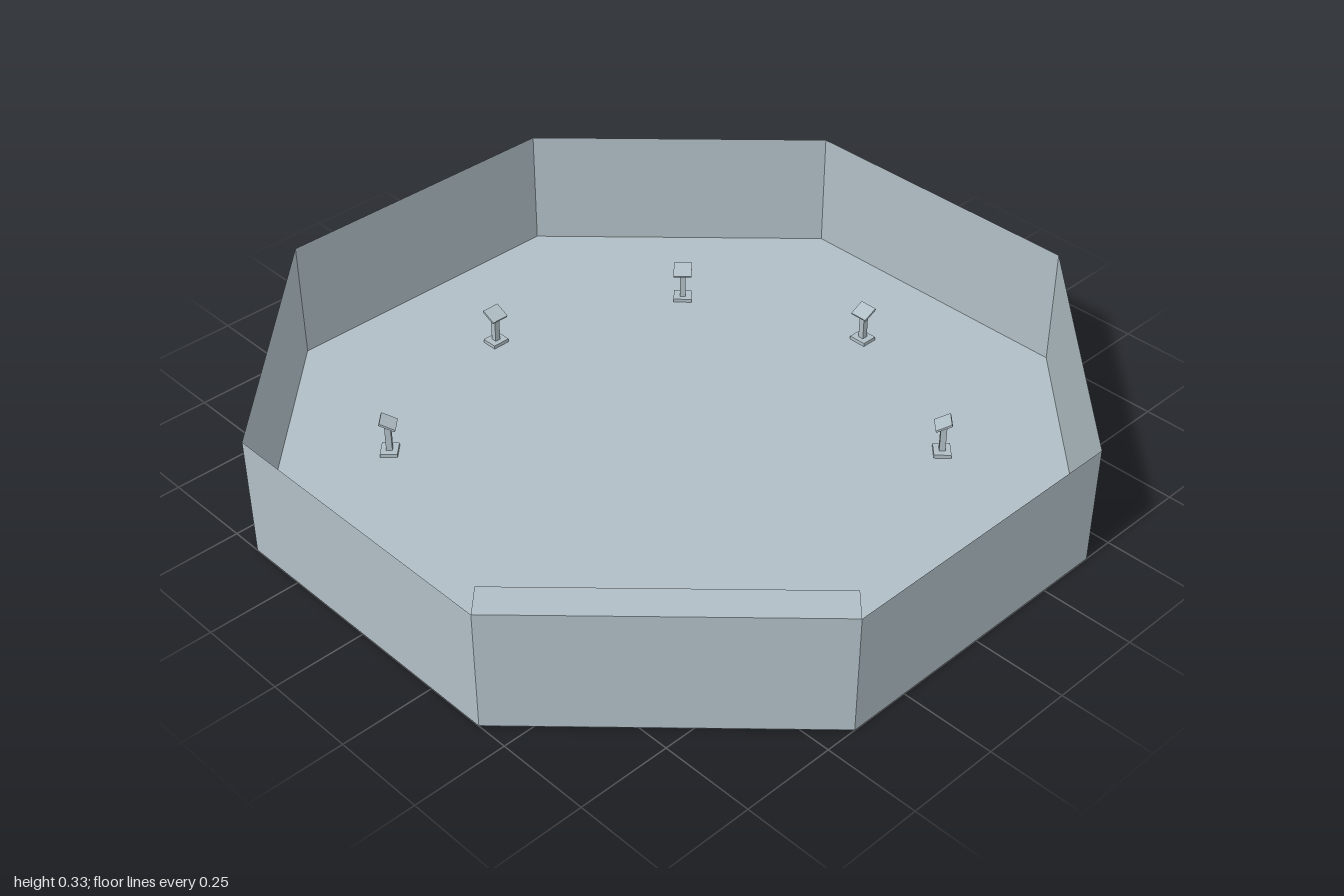
import * as THREE from 'three';

export function createModel() {
  const model = new THREE.Group();
  const blueGrey = new THREE.MeshStandardMaterial({ color: 0xb0bec5, flatShading: true, side: THREE.DoubleSide });
  blueGrey.name = 'blue grey';

  const add = (parent, name, geometry, x = 0, y = 0, z = 0) => {
    const mesh = new THREE.Mesh(geometry, blueGrey);
    mesh.name = name;
    mesh.position.set(x, y, z);
    parent.add(mesh);
    return mesh;
  };

  const height = 0.33;
  const step = Math.PI / 4;
  const radius = 1 / Math.cos(step / 2);
  const side = 2 * Math.tan(step / 2);

  // Octagonal floor sheet
  add(model, 'floor', new THREE.CircleGeometry(radius, 8, step / 2).rotateX(-Math.PI / 2));

  // Seven thin walls; the eighth side is the thick wall
  add(model, 'thinWalls',
    new THREE.CylinderGeometry(radius, radius, height, 7, 1, true, step * 1.5, step * 7), 0, height / 2, 0);

  // Thick wall on the front left diagonal
  const depth = 0.09;
  const thick = new THREE.Group();
  thick.name = 'thickWall';
  thick.rotation.y = step;
  add(thick, 'thickWallBlock', new THREE.BoxGeometry(side, height - 0.001, depth),
    0, height / 2 + 0.0005, 1 - depth / 2);
  model.add(thick);

  // Small stands whose tilted plates face the centre
  const stands = [[-0.495, 0.53, 3], [-0.675, 0.02, 2], [-0.475, -0.495, 1], [0.012, -0.706, 0], [0.488, -0.48, -1]];
  for (const [x, z, turn] of stands) {
    const stand = new THREE.Group();
    stand.name = 'stand';
    stand.position.set(x, 0, z);
    stand.rotation.y = turn * step;
    add(stand, 'standBase', new THREE.BoxGeometry(0.05, 0.01, 0.045), 0, 0.006, 0);
    add(stand, 'standPost', new THREE.BoxGeometry(0.016, 0.08, 0.016), 0, 0.05, 0);
    add(stand, 'standPlate', new THREE.BoxGeometry(0.05, 0.006, 0.045), 0, 0.095, 0.002).rotation.x = 0.45;
    model.add(stand);
  }
  return model;
}
